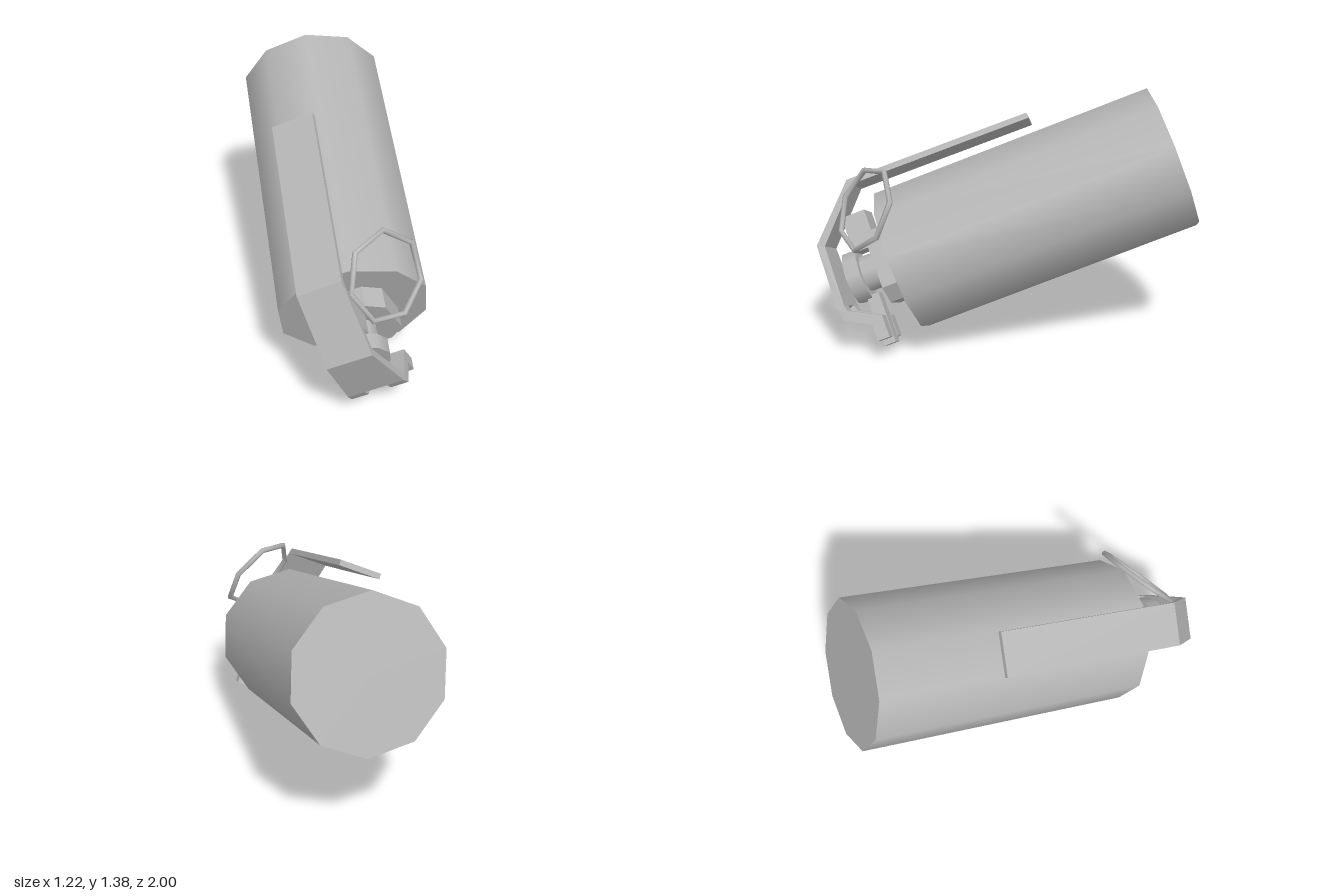
import * as THREE from 'three';

const grey = new THREE.MeshStandardMaterial({ color: 0xb4b4b4 });
grey.name = 'plain grey';

function addPart(parent, name, geometry, x = 0, y = 0, z = 0) {
  const mesh = new THREE.Mesh(geometry, grey);
  mesh.name = name;
  mesh.position.set(x, y, z);
  parent.add(mesh);
  return mesh;
}

// Bent sheet: each row is [outer z, outer y, inner z, inner y, left x, right x]
function bentSheet(rows) {
  const rings = rows.map(([zo, yo, zi, yi, x0, x1]) => [
    [x0, yo, zo], [x1, yo, zo], [x1, yi, zi], [x0, yi, zi],
  ]);
  const pos = [];
  const quad = (a, b, c, d) => pos.push(...a, ...b, ...c, ...a, ...c, ...d);
  for (let i = 0; i < rings.length - 1; i++) {
    for (let k = 0; k < 4; k++) {
      const j = (k + 1) % 4;
      quad(rings[i][k], rings[i + 1][k], rings[i + 1][j], rings[i][j]);
    }
  }
  const end = rings[rings.length - 1];
  quad(...rings[0]);
  quad(end[3], end[2], end[1], end[0]);
  const g = new THREE.BufferGeometry();
  g.setAttribute('position', new THREE.Float32BufferAttribute(pos, 3));
  g.computeVertexNormals();
  return g;
}

// Cylinder lying along z
function drum(radius, length, sides) {
  return new THREE.CylinderGeometry(radius, radius, length, sides, 1, false, Math.PI / sides)
    .rotateX(Math.PI / 2);
}

// Orthonormal frame from a forward axis and an approximate up axis
function frame(forward, up, origin) {
  const f = new THREE.Vector3(...forward).normalize();
  const s = new THREE.Vector3(...up).cross(f).normalize();
  const n = f.clone().cross(s);
  return new THREE.Matrix4().makeBasis(s, n, f).setPosition(...origin);
}

export function createModel() {
  const model = new THREE.Group();
  model.name = 'canister';

  // Everything on the canister is built along its own axis, then tilted as one
  const tilted = new THREE.Group();
  tilted.name = 'tiltedAssembly';
  model.add(tilted);

  // Body, with its front face at z = 0
  addPart(tilted, 'body', drum(0.394, 1.548, 10), 0, 0, -0.774);

  // Chamfered base plate of the fuse
  const h = 0.2, c = 0.08;
  const outline = [[h, c - h], [h, h - c], [h - c, h], [c - h, h],
    [-h, h - c], [-h, c - h], [c - h, -h], [h - c, -h]];
  const plate = new THREE.Shape(outline.map(([x, y]) => new THREE.Vector2(x, y)));
  addPart(tilted, 'basePlate',
    new THREE.ExtrudeGeometry(plate, { depth: 0.11, bevelEnabled: false }));

  // Fuse neck, collar and pin block
  addPart(tilted, 'neck', drum(0.1, 0.2, 10), 0, 0, 0.17);
  addPart(tilted, 'collar', drum(0.145, 0.08, 10), 0, 0, 0.25);
  addPart(tilted, 'pinBlock', new THREE.BoxGeometry(0.18, 0.2, 0.13), 0, 0.22, 0.15);

  // Lever: long strip, slanted shoulder and widening front plate
  addPart(tilted, 'lever', bentSheet([
    [-0.913, 0.487, -0.913, 0.457, -0.115, 0.115],
    [0.115, 0.5, 0.1, 0.468, -0.115, 0.115],
    [0.386, 0.223, 0.345, 0.205, -0.117, 0.117],
    [0.386, -0.14, 0.345, -0.13, -0.15, 0.15],
  ]));

  // Two hooked legs under the lever
  for (const side of [-1, 1]) {
    const row = (zo, yo, zi, yi, outer) => {
      const x = [side * 0.06, side * outer].sort((a, b) => a - b);
      return [zo, yo, zi, yi, ...x];
    };
    addPart(tilted, side < 0 ? 'rightLeverLeg' : 'leftLeverLeg', bentSheet([
      row(0.386, -0.14, 0.345, -0.13, 0.15),
      row(0.37, -0.21, 0.335, -0.165, 0.155),
      row(0.237, -0.28, 0.17, -0.25, 0.155),
      row(0.237, -0.37, 0.17, -0.37, 0.155),
    ]));
  }

  // Hinge post between the legs
  addPart(tilted, 'hingePost', new THREE.BoxGeometry(0.095, 0.28, 0.067), 0, -0.26, 0.203);

  tilted.applyMatrix4(frame([0.333, -0.3585, 0.872], [-0.291, 0.841, 0.4565], [0.255, 0.46, 0.535]));

  // Seven-sided pull ring
  const ring = addPart(model, 'pullRing',
    new THREE.TorusGeometry(0.223, 0.015, 6, 7).rotateZ(Math.PI / 2));
  ring.applyMatrix4(frame([0.719, 0.426, 0.551], [-0.177, 0.878, -0.447], [0.432, 0.802, 0.656]));

  return model;
}
